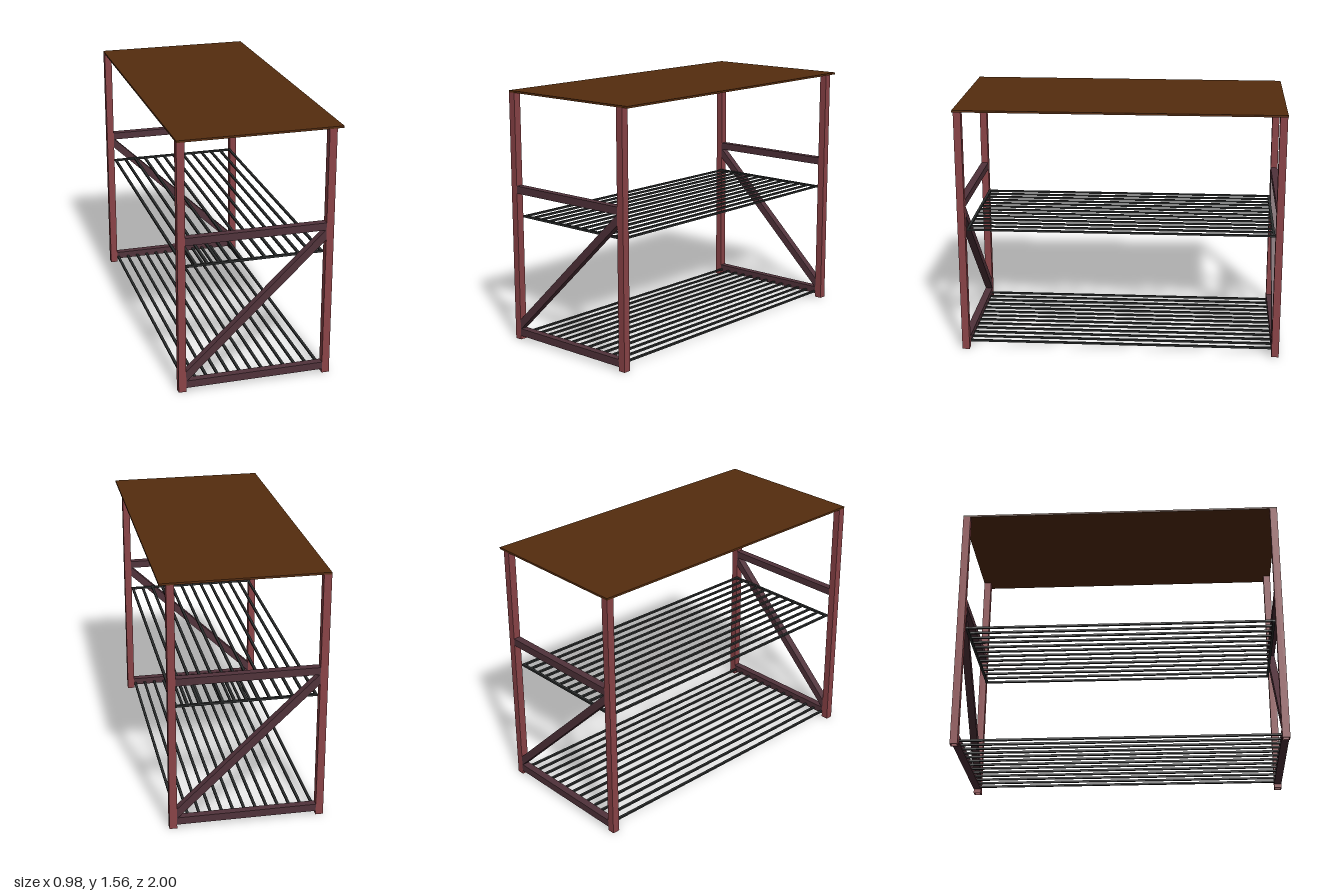
import * as THREE from 'three';

const paint = (color) => new THREE.MeshStandardMaterial({ color });

export function createModel() {
  const model = new THREE.Group();
  model.name = 'shelfTable';

  const postMat = paint(0x8a4347);
  const railMat = paint(0x50323a);
  const topMat = paint(0x552c0e);
  const rodMat = paint(0x2a2c2c);

  const T = 0.046;                       // square tube size
  const xL = -0.444, xR = 0.404;         // inner faces of the posts
  const xMid = (xL + xR) / 2, span = xR - xL;
  const zTube = 1 - T / 2;               // centre of the end frames
  const postH = 1.55;

  const add = (parent, name, geometry, material, x, y, z) => {
    const mesh = new THREE.Mesh(geometry, material);
    mesh.name = name;
    mesh.position.set(x, y, z);
    parent.add(mesh);
    return mesh;
  };
  const box = (parent, name, w, h, d, material, x, y, z) =>
    add(parent, name, new THREE.BoxGeometry(w, h, d), material, x, y, z);

  // Table top
  box(model, 'tableTop', 0.98, 0.012, 2, topMat, 0, postH + 0.006, 0);

  // Hollow square post profile, extruded upwards
  const square = (path, r) => path.moveTo(-r, -r).lineTo(r, -r).lineTo(r, r).lineTo(-r, r).closePath();
  const profile = square(new THREE.Shape(), T / 2);
  profile.holes.push(square(new THREE.Path(), T / 2 - 0.005));
  const postGeo = new THREE.ExtrudeGeometry(profile, { depth: postH, bevelEnabled: false });
  postGeo.rotateX(-Math.PI / 2);

  // Diagonal brace with vertical cuts where it meets the posts
  const braceGeo = (rise) => {
    const h = span / 2, v = 0.032;
    const s = new THREE.Shape();
    s.moveTo(-h, -rise - v).lineTo(h, rise - v).lineTo(h, rise + v).lineTo(-h, -rise + v).closePath();
    return new THREE.ExtrudeGeometry(s, { depth: T, bevelEnabled: false }).translate(0, 0, -T / 2);
  };

  // End frames: two posts, two rails and one brace each, braces opposed
  for (const side of [1, -1]) {
    const frame = new THREE.Group();
    frame.name = side > 0 ? 'frontFrame' : 'backFrame';
    const z = side * zTube;
    add(frame, 'rightPost', postGeo, postMat, xL - T / 2, 0, z);
    add(frame, 'leftPost', postGeo, postMat, xR + T / 2, 0, z);
    box(frame, 'lowerRail', span, T, T, railMat, xMid, 0.048, z);
    box(frame, 'upperRail', span, T, T, railMat, xMid, 0.957, z);
    add(frame, 'diagonalBrace', braceGeo(side * 0.404), railMat, xMid, 0.502, z);
    model.add(frame);
  }

  // Shelves of lengthwise rods
  const rodCount = 13, rodW = 0.016, rodH = 0.011;
  const rodLength = 2 * (1 - T);
  const shelf = (name, y) => {
    const group = new THREE.Group();
    group.name = name;
    for (let i = 0; i < rodCount; i++) {
      const x = xL + rodW / 2 + (span - rodW) * i / (rodCount - 1);
      box(group, 'shelfRod', rodW, rodH, rodLength, rodMat, x, y, 0);
    }
    model.add(group);
    return group;
  };
  shelf('lowerShelf', 0.038);
  const upper = shelf('upperShelf', 0.783);

  // Cross bars carrying the upper shelf between the posts
  for (const side of [1, -1]) {
    box(upper, 'shelfCrossBar', span, 0.013, rodW, rodMat, xMid, 0.783, side * (rodLength / 2 - rodW / 2));
  }

  return model;
}
